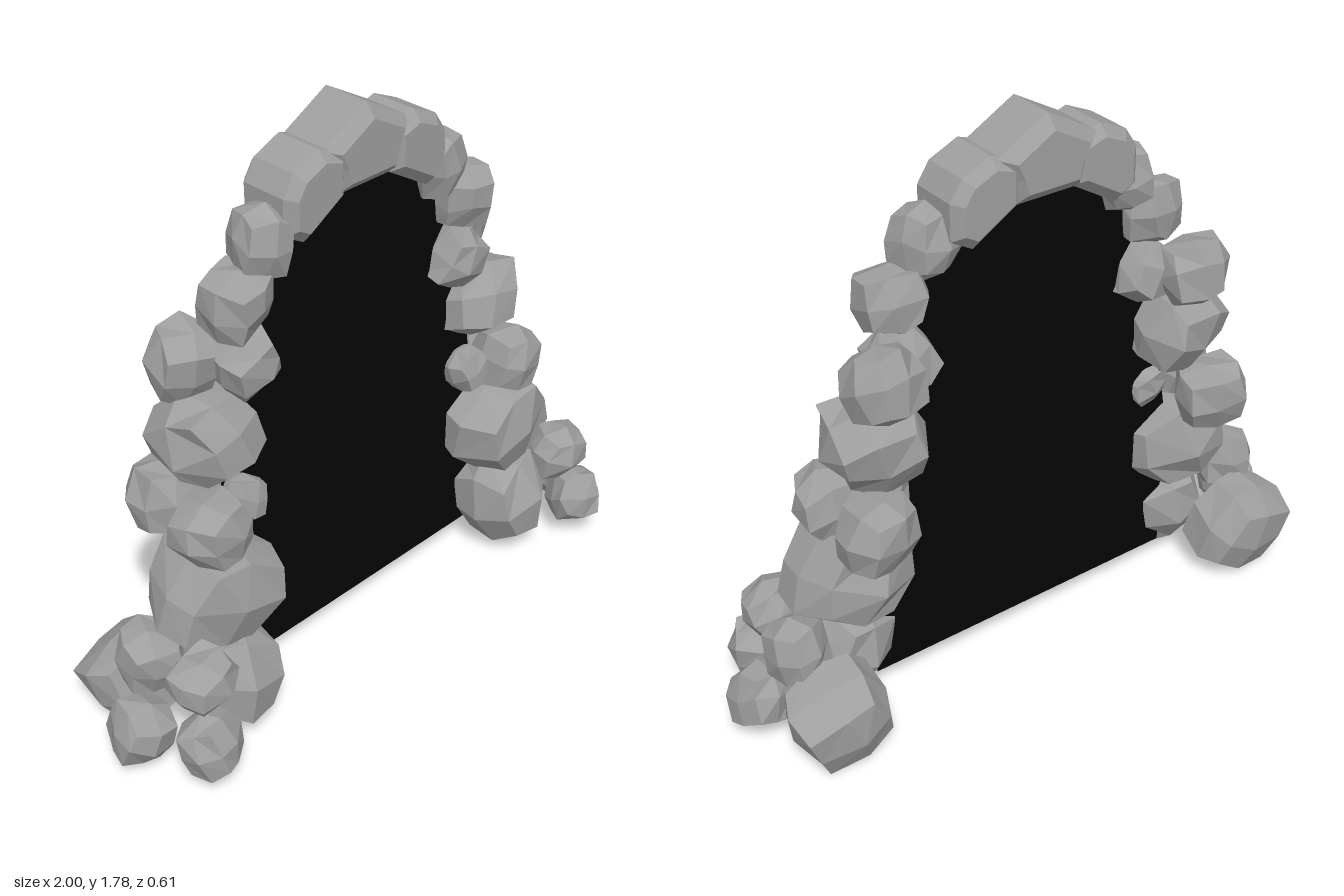
import * as THREE from 'three';
import { mergeVertices } from 'three/addons/utils/BufferGeometryUtils.js';

const stone = new THREE.MeshStandardMaterial({ color: 0x9e9e9e, name: 'grey stone' });
const dark = new THREE.MeshStandardMaterial({ color: 0x060606, name: 'dark opening', side: THREE.DoubleSide });

function seeded(seed) {
  let s = seed * 7919 + 17;
  return () => ((s = (s * 16807) % 2147483647) / 2147483647);
}

// Faceted boulder: a rounded, jittered 2x2x2 cube, turned and fitted to an exact box
function boulder([cx, cy, cz], size, seed) {
  const rnd = seeded(seed);
  for (let i = 0; i < 5; i++) rnd();
  const box = new THREE.BoxGeometry(1, 1, 1, 2, 2, 2);
  box.deleteAttribute('normal');
  box.deleteAttribute('uv');
  const geo = mergeVertices(box);
  const p = geo.attributes.position;
  const v = new THREE.Vector3();
  for (let i = 0; i < p.count; i++) {
    v.fromBufferAttribute(p, i);
    v.lerp(v.clone().setLength(0.5), 0.8);
    v.x += (rnd() - 0.5) * 0.1;
    v.y += (rnd() - 0.5) * 0.1;
    v.z += (rnd() - 0.5) * 0.1;
    p.setXYZ(i, v.x, v.y, v.z);
  }
  geo.rotateX((rnd() - 0.5) * 0.9);
  geo.rotateY((rnd() - 0.5) * 0.9);
  geo.rotateZ((rnd() - 0.5) * 0.9);
  geo.computeBoundingBox();
  geo.center();
  const b = geo.boundingBox.getSize(new THREE.Vector3());
  geo.computeBoundingBox();
  geo.scale(size[0] / b.x, size[1] / b.y, size[2] / b.z);
  geo.translate(cx, cy, cz);
  return geo;
}

// Mirror across x = 0, reversing the corner order
function mirrored(geo) {
  const m = geo.clone().scale(-1, 1, 1);
  const ix = m.index.array;
  for (let i = 0; i < ix.length; i += 3) [ix[i], ix[i + 1]] = [ix[i + 1], ix[i]];
  return m;
}

function addStone(group, name, geo) {
  const flat = geo.index ? geo.toNonIndexed() : geo;
  flat.computeVertexNormals();
  const mesh = new THREE.Mesh(flat, stone);
  mesh.name = name;
  group.add(mesh);
}

// name, centre, size for the left side of the arch
const ROCKS = [
  ['baseInnerRock', [0.61, 0.21, 0.05], [0.3, 0.33, 0.32]],
  ['baseBackRock', [0.77, 0.16, -0.18], [0.33, 0.31, 0.25]],
  ['baseFrontRock', [0.81, 0.165, 0.21], [0.19, 0.2, 0.19]],
  ['baseOuterRock', [0.91, 0.155, 0.015], [0.18, 0.21, 0.19]],
  ['lowerFrontRock', [0.78, 0.34, 0.145], [0.2, 0.19, 0.19]],
  ['lowerOuterRock', [0.81, 0.33, -0.04], [0.18, 0.21, 0.2]],
  ['lowerBigRock', [0.605, 0.49, -0.01], [0.39, 0.33, 0.34]],
  ['middleFrontRock', [0.63, 0.725, 0.035], [0.21, 0.21, 0.21]],
  ['middleBackRock', [0.61, 0.715, -0.18], [0.23, 0.23, 0.21]],
  ['middleInnerRock', [0.47, 0.725, -0.01], [0.14, 0.15, 0.14]],
  ['middleBigRock', [0.54, 0.945, -0.07], [0.3, 0.28, 0.3]],
  ['upperOuterRock', [0.54, 1.16, -0.14], [0.22, 0.24, 0.2]],
  ['upperInnerRock', [0.42, 1.15, -0.04], [0.2, 0.23, 0.2]],
  ['shoulderRock', [0.445, 1.335, -0.04], [0.2, 0.2, 0.2]],
  ['highRock', [0.34, 1.48, -0.045], [0.18, 0.22, 0.18]],
];

// Bevelled wedge stone: an outline pushed through the arch with chamfered faces
function wedge(points, zMin, zMax, bevel) {
  const shape = new THREE.Shape(points.map(([x, y]) => new THREE.Vector2(x, y)));
  const geo = new THREE.ExtrudeGeometry(shape, {
    depth: zMax - zMin - 2 * bevel, bevelEnabled: true, bevelThickness: bevel,
    bevelSize: bevel, bevelOffset: -bevel, bevelSegments: 1,
  });
  geo.translate(0, 0, zMin + bevel);
  return geo;
}

export function createModel() {
  const group = new THREE.Group();
  group.name = 'stoneArch';

  // Piled side rocks
  ROCKS.forEach(([name, centre, size], i) => {
    const geo = boulder(centre, size, i + 3);
    addStone(group, name + 'Left', geo);
    addStone(group, name + 'Right', mirrored(geo));
  });

  // Crown stones either side of the keystone
  const crown = [[0.09, 1.55], [0.24, 1.46], [0.31, 1.5], [0.31, 1.61], [0.27, 1.67], [0.18, 1.71], [0.09, 1.68]];
  addStone(group, 'crownStoneLeft', wedge(crown, -0.16, 0.05, 0.03));
  addStone(group, 'crownStoneRight', wedge(crown.map(([x, y]) => [-x, y]).reverse(), -0.16, 0.05, 0.03));

  // Keystone
  const key = [[-0.11, 1.55], [0.11, 1.55], [0.13, 1.62], [0.165, 1.695], [0, 1.787], [-0.165, 1.695], [-0.13, 1.62]];
  addStone(group, 'keystone', wedge(key, -0.17, 0.05, 0.035));

  // Dark sheet filling the opening
  const half = [[0.55, 0.09], [0.55, 0.6], [0.5, 0.9], [0.44, 1.2], [0.36, 1.42], [0.22, 1.57], [0.08, 1.62]];
  const outline = [...half, ...half.map(([x, y]) => [-x, y]).reverse()];
  const sheet = new THREE.Mesh(
    new THREE.ShapeGeometry(new THREE.Shape(outline.map(([x, y]) => new THREE.Vector2(x, y)))), dark);
  sheet.position.z = -0.04;
  sheet.name = 'darkOpening';
  group.add(sheet);

  return group;
}
